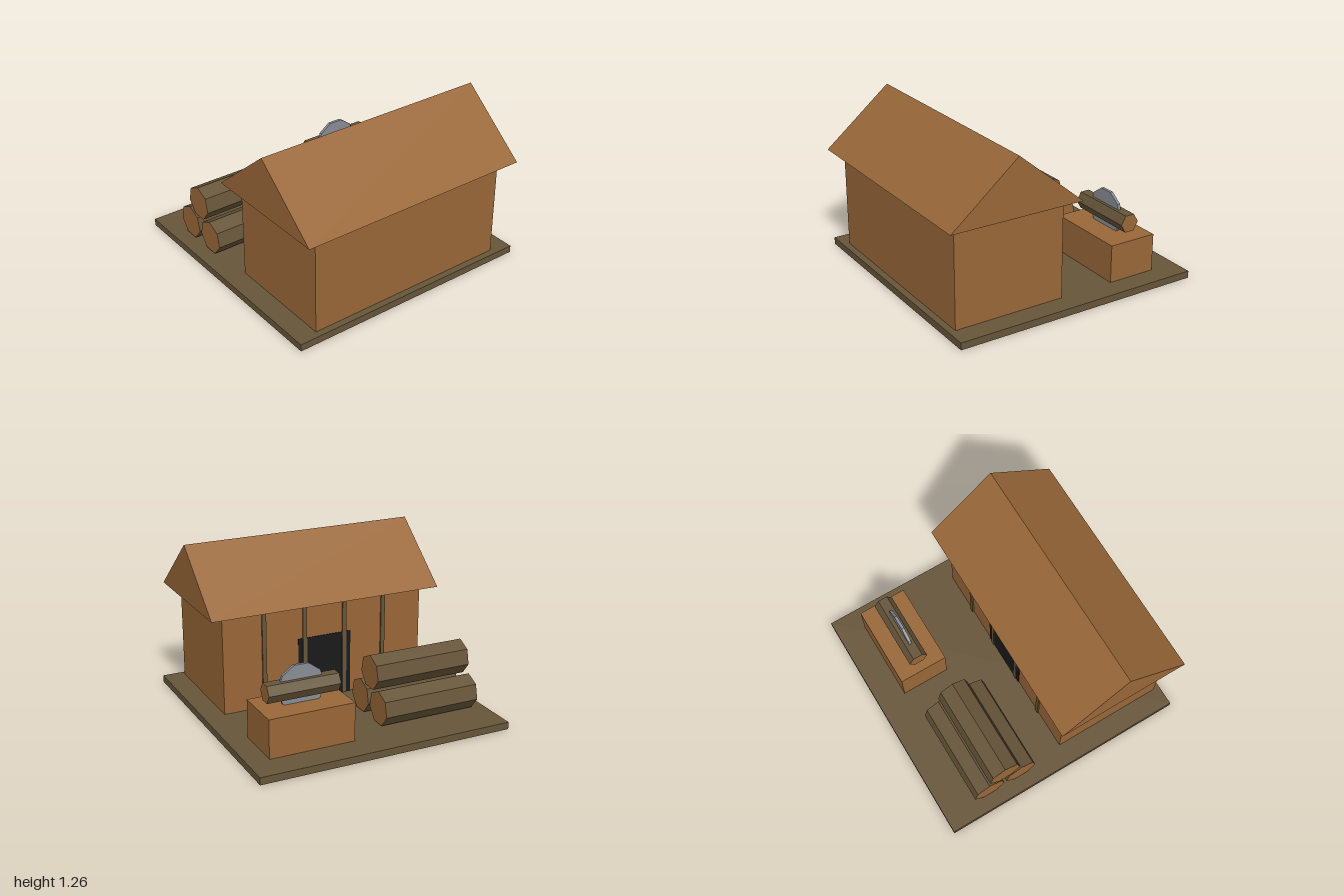
import * as THREE from 'three';

export function createModel() {
  const model = new THREE.Group();
  model.name = 'sawmill';

  const material = (name, color, side = THREE.FrontSide) => {
    const m = new THREE.MeshStandardMaterial({ color, side, flatShading: true });
    m.name = name;
    return m;
  };
  const plank = material('plankWood', 0x996738, THREE.DoubleSide);
  const bark = material('barkBrown', 0x665539, THREE.DoubleSide);
  const steel = material('steel', 0x888c94);
  const dark = material('doorwayBlack', 0x1a1a1a);

  const add = (name, geometry, mat, x, y, z) => {
    const mesh = new THREE.Mesh(geometry, mat);
    mesh.name = name;
    mesh.position.set(x, y, z);
    model.add(mesh);
  };
  const box = (name, mat, w, h, d, x, y, z) =>
    add(name, new THREE.BoxGeometry(w, h, d), mat, x, y, z);

  // Box shell without its underside
  const openBox = (name, mat, w, h, d, x, y, z) => {
    const g = new THREE.BoxGeometry(w, h, d);
    const index = Array.from(g.index.array);
    index.splice(18, 6);
    g.setIndex(index);
    g.clearGroups();
    add(name, g, mat, x, y, z);
  };

  // Log lying along x, bark on the sides and cut wood on the ends
  const log = (name, radius, length, sides, start, x, y, z) => {
    const g = new THREE.CylinderGeometry(radius, radius, length, sides, 1, false, start);
    g.rotateZ(Math.PI / 2);
    add(name, g, [bark, plank, plank], x, y, z);
  };

  // Ground platform, hollow underneath
  const floor = 0.055;
  openBox('platform', bark, 1.965, floor, 1.965, 0, floor / 2, -0.0175);

  // Shed with its back wall at z = 0.04
  const wallTop = 0.821, wallHeight = wallTop - floor, wallMid = (wallTop + floor) / 2;
  openBox('shedWalls', plank, 1.64, wallHeight, 0.873, 0, wallMid, 0.4765);

  // Hollow gabled roof, ridge along x, open underneath
  const corners = [];
  for (const x of [-0.93, 0.93]) {
    corners.push(x, wallTop, 1.0, x, wallTop, -0.048, x, 1.257, 0.476);
  }
  const shell = new THREE.BufferGeometry();
  shell.setAttribute('position', new THREE.Float32BufferAttribute(corners, 3));
  shell.setIndex([
    3, 4, 5, 0, 2, 1, // gable ends
    0, 3, 5, 0, 5, 2, // front slope
    4, 1, 2, 4, 2, 5, // back slope
  ]);
  const roof = shell.toNonIndexed();
  roof.computeVertexNormals();
  add('roof', roof, plank, 0, 0, 0);

  // Doorway and upright battens on the back wall
  box('doorway', dark, 0.435, 0.495, 0.006, 0, floor + 0.2475, 0.037);
  for (let i = 0; i < 4; i++) {
    box('batten', bark, 0.033, wallHeight, 0.012, (i - 1.5) * 0.33, wallMid, 0.034);
  }

  // Stacked logs
  for (const [y, z] of [[0.187, -0.343], [0.187, -0.618], [0.418, -0.484]]) {
    log('stackedLog', 0.131, 0.765, 7, Math.PI / 2, -0.49, y, z);
  }

  // Saw bench with a log on the blade
  openBox('sawBench', plank, 0.655, 0.293, 0.384, 0.4915, 0.2015, -0.589);
  log('benchLog', 0.075, 0.55, 6, 0, 0.4915, 0.46, -0.595);
  const blade = new THREE.CylinderGeometry(0.178, 0.178, 0.023, 10, 1, false, Math.PI / 10);
  blade.rotateX(Math.PI / 2);
  add('sawBlade', blade, steel, 0.4915, 0.46, -0.592);

  return model;
}
